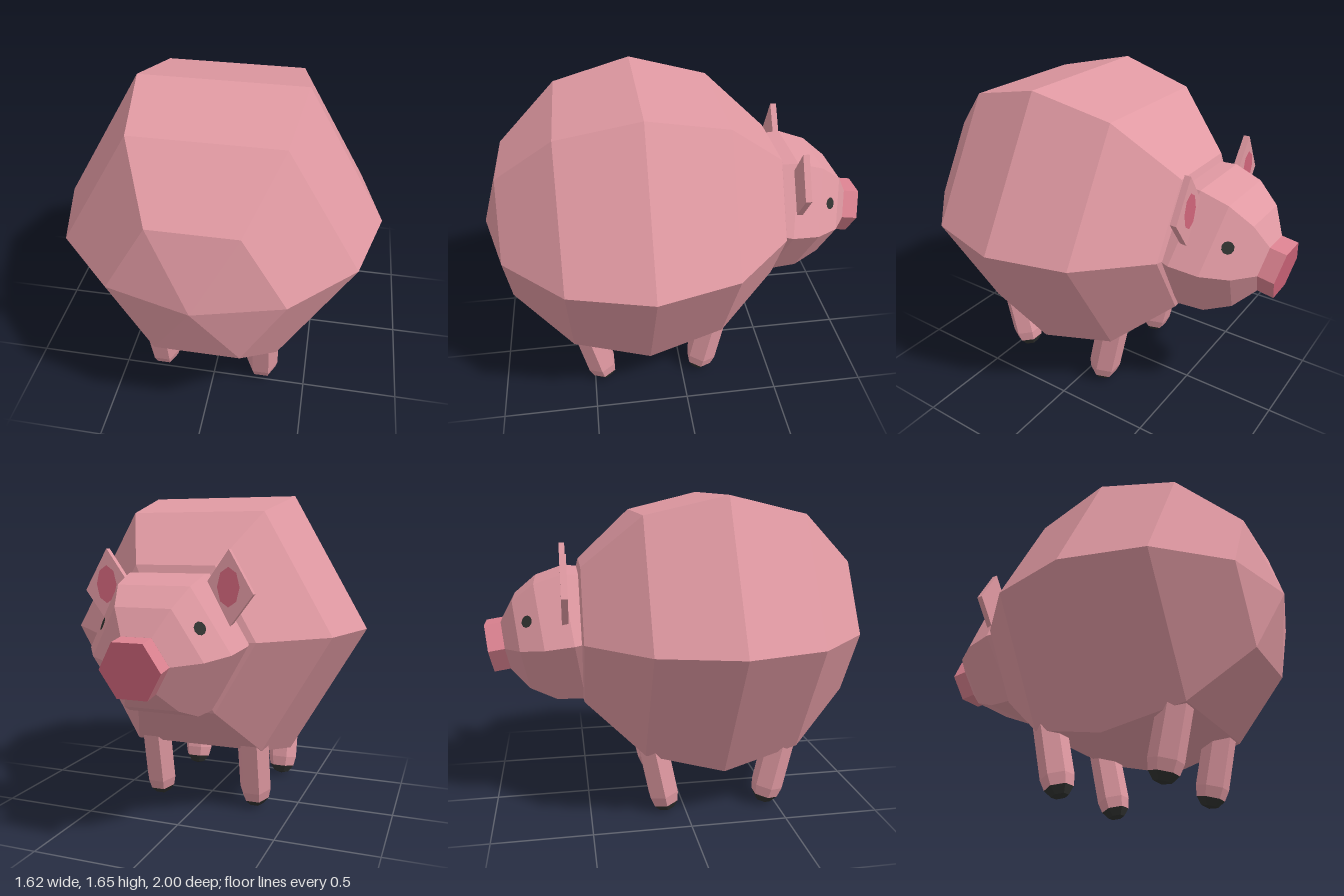
import * as THREE from 'three';

const flat = (name, color) => {
  const m = new THREE.MeshStandardMaterial({ color, flatShading: true });
  m.name = name;
  return m;
};

export function createModel() {
  const skin = flat('skin pink', 0xe099a2);
  const deepPink = flat('deep pink', 0xd0657a);
  const snoutPink = flat('snout pink', 0xdb8290);
  const dark = flat('dark', 0x303230);

  const model = new THREE.Group();
  model.name = 'pig';
  const add = (parent, name, geometry, material, x = 0, y = 0, z = 0) => {
    const mesh = new THREE.Mesh(geometry, material);
    mesh.name = name;
    mesh.position.set(x, y, z);
    parent.add(mesh);
    return mesh;
  };

  // Six-sided round body with its poles at the two ends
  add(model, 'body', new THREE.SphereGeometry(0.81, 6, 6).rotateX(Math.PI / 2), skin, 0, 0.95, 0.19);

  // Head: local +y runs out along the muzzle, local +z is the crown
  const head = new THREE.Group();
  head.name = 'head';
  head.position.set(0, 0.94, -0.555);
  head.rotation.x = THREE.MathUtils.degToRad(-98.6);
  model.add(head);
  add(head, 'skull', new THREE.SphereGeometry(0.38, 6, 8), skin);
  const snout = new THREE.CylinderGeometry(0.145, 0.145, 0.086, 6).rotateY(Math.PI / 6);
  add(head, 'snout', snout, [snoutPink, deepPink, skin], 0, 0.393, 0);

  // Eyes lie on the upper side facets of the head
  for (const side of [-1, 1]) {
    const normal = new THREE.Vector3(side * 0.752, 0.497, 0.434).normalize();
    const eye = add(head, side > 0 ? 'leftEye' : 'rightEye', new THREE.CircleGeometry(0.031, 10), dark);
    eye.position.set(side * 0.232, 0.207, 0.134).addScaledVector(normal, 0.005);
    eye.quaternion.setFromUnitVectors(new THREE.Vector3(0, 0, 1), normal);
  }

  // Diamond ears with a darker inner patch facing forward over the muzzle
  const diamond = (side, cx, cy, k) => new THREE.Shape([
    [0, 0.178], [-0.115, 0.015], [0, -0.175], [0.115, -0.02],
  ].map(([x, y]) => new THREE.Vector2(side * (cx + x * k), cy + y * k)));
  for (const side of [-1, 1]) {
    const ear = new THREE.ExtrudeGeometry(diamond(side, 0.305, 1.2, 1), { depth: 0.032, bevelEnabled: false });
    add(model, side > 0 ? 'leftEar' : 'rightEar', ear, skin, 0, 0, -0.612);
    const patch = new THREE.CircleGeometry(1, 8).scale(0.053, 0.09, 1).rotateY(Math.PI);
    add(model, 'innerEar', patch, deepPink, side * 0.305, 1.21, -0.617);
  }

  // Six-sided legs leaning inward, each ending in a dark rounded hoof
  const lathe = (pts) => new THREE.LatheGeometry(
    pts.map(([r, y]) => new THREE.Vector2(r, y)), 6, Math.PI / 6);
  const hoofGeo = lathe([[0, 0], [0.043, 0.012], [0.072, 0.05]]);
  const legGeo = lathe([[0.072, 0.05], [0.085, 0.105], [0.085, 0.46]]);
  for (const [name, z, lean] of [['hind', 0.435, 0.225], ['front', -0.095, -0.2]]) {
    for (const x of [-0.29, 0.265]) {
      const leg = new THREE.Group();
      leg.name = `${name}Leg`;
      leg.position.set(x, 0.003, z);
      leg.rotation.x = lean;
      add(leg, 'shank', legGeo, skin);
      add(leg, 'hoof', hoofGeo, dark);
      model.add(leg);
    }
  }
  return model;
}
